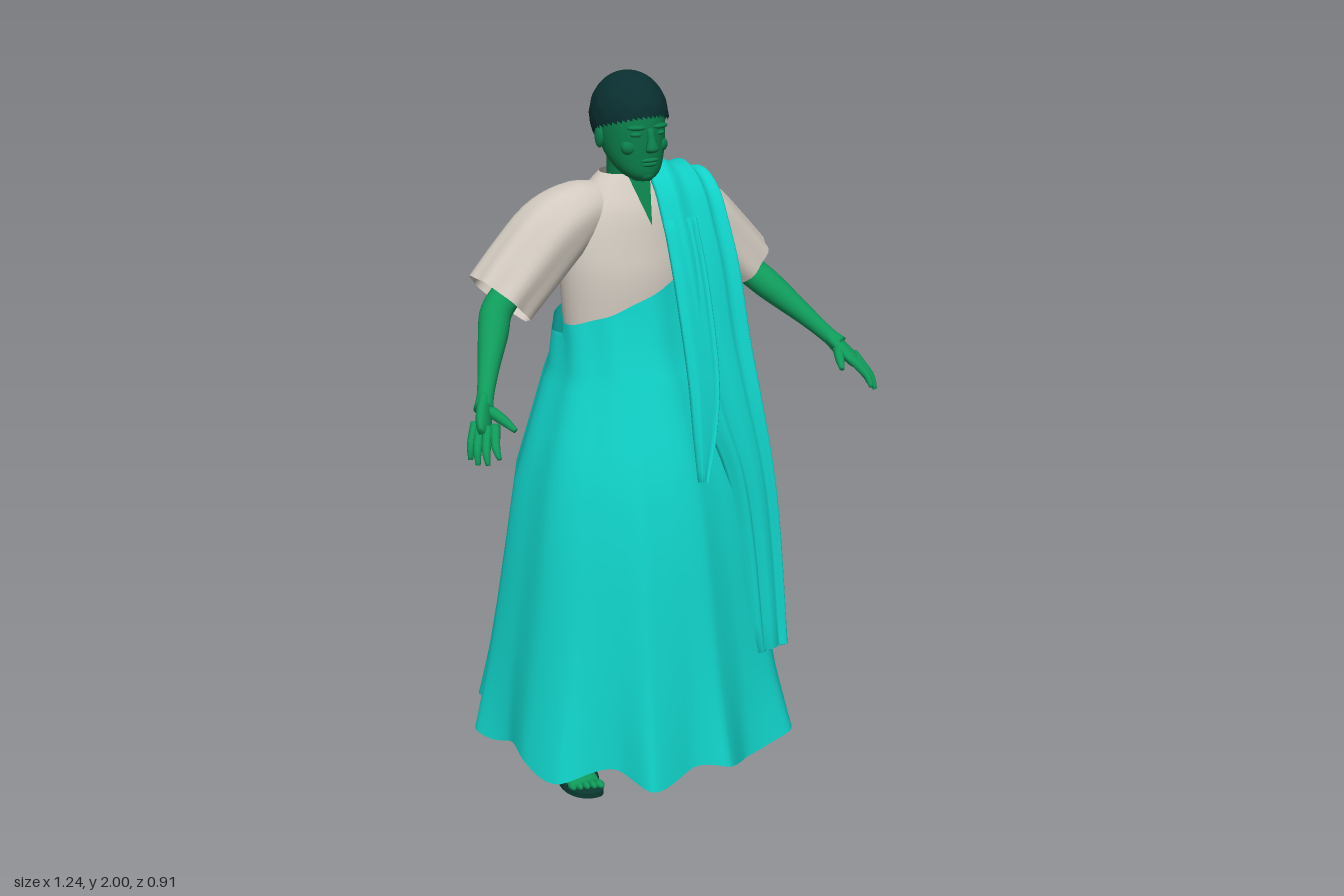
import * as THREE from 'three';

const mat = (name, color) => {
  const m = new THREE.MeshStandardMaterial({ color, side: THREE.DoubleSide });
  m.name = name;
  return m;
};

// Skin a list of closed rings, optionally closing both ends
function skin(rows, capped) {
  const n = rows[0].length, pos = [], idx = [];
  rows.forEach(r => r.forEach(p => pos.push(p.x, p.y, p.z)));
  for (let i = 0; i < rows.length - 1; i++) for (let j = 0; j < n; j++) {
    const a = i * n + j, b = i * n + (j + 1) % n;
    idx.push(a, b, a + n, b, b + n, a + n);
  }
  if (capped) [0, rows.length - 1].forEach(i => {
    const c = rows[i].reduce((s, p) => s.add(p), new THREE.Vector3()).divideScalar(n);
    const k = pos.length / 3;
    pos.push(c.x, c.y, c.z);
    for (let j = 0; j < n; j++) {
      const a = i * n + j, b = i * n + (j + 1) % n;
      if (i) idx.push(k, a, b); else idx.push(k, b, a);
    }
  });
  const g = new THREE.BufferGeometry();
  g.setAttribute('position', new THREE.Float32BufferAttribute(pos, 3));
  g.setIndex(idx);
  g.computeVertexNormals();
  return g;
}

// Loft along a path; each point is [x, y, z, radiusU, radiusV]
function loft(pts, o = {}) {
  const { n = 20, steps = 4, ref = [0, 0, 1], dir, power = 1, ripple = 0, k = 7, pleat = 0, capped = true } = o;
  const path = new THREE.CatmullRomCurve3(pts.map(p => new THREE.Vector3(p[0], p[1], p[2])), false, 'catmullrom');
  const size = new THREE.CatmullRomCurve3(pts.map(p => new THREE.Vector3(p[3], p[4] ?? p[3], 0)), false, 'catmullrom');
  const m = (pts.length - 1) * steps, rows = [];
  const bend = c => Math.sign(c) * Math.abs(c) ** power;
  for (let i = 0; i <= m; i++) {
    const f = i / m, c = path.getPoint(f), r = size.getPoint(f);
    const t = dir ? new THREE.Vector3(...dir) : path.getTangent(f);
    const u = new THREE.Vector3(...ref).cross(t).normalize(), v = t.clone().cross(u);
    rows.push(Array.from({ length: n }, (_, j) => {
      const a = j / n * Math.PI * 2, q = 1 + ripple * f * Math.cos(k * a);
      const cu = bend(Math.cos(a)), cv = bend(Math.sin(a));
      return c.clone().addScaledVector(u, r.x * cu * q + pleat * Math.cos(cv * 8 + f * 2)).addScaledVector(v, r.y * cv * q);
    }));
  }
  return skin(rows, capped);
}

export function createModel() {
  const model = new THREE.Group();
  const cloth = mat('turquoise cloth', 0x10d0c6), linen = mat('pale linen', 0xd2cac0);
  const skinMat = mat('green skin', 0x0f9a5a), face = mat('face green', 0x0b7f4b);
  const hairMat = mat('dark hair', 0x0a2f30), leather = mat('sandal leather', 0x0b3a32);
  const add = (name, geo, m, parent = model) => {
    const mesh = new THREE.Mesh(geo, m);
    mesh.name = name;
    parent.add(mesh);
    return mesh;
  };
  const ball = (name, m, x, y, z, sx, sy, sz, parent) => {
    const b = add(name, new THREE.SphereGeometry(1, 14, 10), m, parent);
    b.position.set(x, y, z);
    b.scale.set(sx, sy, sz);
    return b;
  };

  // Gown: waist ellipses flowing into a folded hem outline
  const hem = new THREE.CatmullRomCurve3([
    [-.44, -.13], [-.4, 0], [-.42, .13], [-.38, .27], [-.23, .32], [-.18, .43], [-.04, .41], [.05, .455],
    [.15, .39], [.3, .38], [.36, .27], [.37, .12], [.43, -.02], [.45, -.18], [.38, -.25], [.31, -.3],
    [.28, -.39], [.1, -.41], [-.13, -.455], [-.2, -.4], [-.33, -.33], [-.35, -.2],
  ].map(p => new THREE.Vector3(p[0], 0, p[1])), true, 'catmullrom', 0.35).getPoints(132).slice(0, -1);
  // height, half width, half depth, centre z, share of hem outline, scale of hem outline
  const levels = [
    [.15, .445, .45, 0, 1, 1], [.22, .43, .43, 0, .85, .97], [.32, .41, .41, 0, .62, .93], [.45, .39, .39, 0, .42, .88],
    [.65, .36, .36, 0, .3, .81], [.9, .325, .32, 0, .2, .72], [1.05, .275, .27, -.01, .12, .62],
    [1.18, .235, .232, -.015, .08, .52], [1.22, .22, .215, -.015, .05, .5], [1.3, .212, .19, -.02, 0, 1], [0, .21, .17, -.025, 0, 1],
  ];
  add('gown', skin(levels.map(([y, rx, rz, cz, w, s]) => hem.map(h => {
    const a = Math.atan2(h.z, h.x), fold = 1 + .018 * Math.cos(11 * a + 1) * (1 - w);
    const x = THREE.MathUtils.lerp(rx * Math.cos(a) * fold, h.x * s, w);
    const z = THREE.MathUtils.lerp(cz + rz * Math.sin(a) * fold, h.z * s, w);
    const top = 1.44 + .45 * x - (z < 0 ? .03 : 0);
    return new THREE.Vector3(x, y ? y + w * .018 * Math.sin(9 * a) : top, z);
  }))), cloth);

  // Shawl: pleated band hanging from the left shoulder, front and back
  add('shawl', loft([
    [.28, .63, -.285, .018, .1], [.255, .9, -.28, .018, .1], [.235, 1.2, -.245, .018, .09], [.21, 1.45, -.2, .018, .085],
    [.165, 1.62, -.145, .018, .085], [.135, 1.71, -.075, .016, .09], [.13, 1.735, 0, .014, .098],
    [.13, 1.69, .07, .014, .1], [.132, 1.6, .12, .014, .1], [.138, 1.48, .165, .014, .1], [.145, 1.3, .21, .014, .1],
    [.17, 1.13, .25, .014, .09], [.21, .95, .28, .014, .07], [.235, .75, .3, .014, .062], [.255, .42, .33, .014, .055],
  ], { n: 40, ref: [1, -.25, 0], power: .6, pleat: .009 }), cloth);
  add('shawlInnerFold', loft([
    [.08, 1.62, .12, .012, .05], [.08, 1.45, .185, .012, .05], [.078, 1.22, .25, .012, .045], [.062, 1.07, .285, .012, .032], [.04, .95, .315, .008, .012],
  ], { n: 24, ref: [1, 0, 0], power: .6, pleat: .005 }), cloth);

  // Shirt body with open neck
  add('shirt', loft([
    [0, 1.28, -.02, .18, .13], [0, 1.45, -.025, .19, .14], [0, 1.55, -.03, .185, .13], [0, 1.64, -.03, .155, .11],
    [0, 1.7, -.03, .11, .08], [0, 1.735, -.03, .072, .062],
  ], { n: 32, dir: [0, 1, 0], capped: false, ripple: .015, k: 8 }), linen);
  const opening = new THREE.BufferGeometry();
  opening.setAttribute('position', new THREE.Float32BufferAttribute([-.035, 1.74, .04, 0, 1.61, .112, .035, 1.74, .04], 3));
  opening.computeVertexNormals();
  add('neckOpening', opening, face);

  // Head and neck
  const head = new THREE.Group();
  head.name = 'head';
  model.add(head);
  add('neck', loft([[0, 1.6, -.03, .06, .055], [0, 1.7, -.025, .052, .052], [0, 1.8, -.015, .055, .06]], { dir: [0, 1, 0] }), face, head);
  add('skull', loft([
    [0, 1.725, .06, .025, .028], [0, 1.745, .045, .052, .055], [0, 1.78, .022, .073, .08], [0, 1.83, .003, .084, .1],
    [0, 1.88, -.005, .088, .105], [0, 1.93, -.012, .084, .1], [0, 1.965, -.012, .055, .065],
  ], { n: 28, dir: [0, 1, 0] }), face, head);
  add('nose', loft([[0, 1.865, .098, .009, .008], [0, 1.835, .108, .011, .012], [0, 1.812, .112, .018, .015], [0, 1.803, .104, .012, .01]],
    { n: 12, dir: [0, 1, 0] }), face, head);
  ball('upperLip', face, 0, 1.782, .1, .026, .006, .009, head);
  ball('lowerLip', face, 0, 1.771, .097, .022, .007, .01, head);
  ball('chin', face, 0, 1.743, .084, .024, .018, .016, head);
  for (const s of [-1, 1]) {
    ball('brow', face, s * .036, 1.868, .092, .026, .007, .012, head).rotation.y = s * .35;
    ball('eye', face, s * .036, 1.85, .089, .016, .007, .01, head).rotation.y = s * .35;
    ball('cheek', face, s * .043, 1.815, .07, .026, .022, .02, head);
    ball('ear', face, s * .088, 1.835, -.012, .01, .03, .018, head);
  }

  // Cropped hair: low at the nape, high at the brow
  const hair = new THREE.SphereGeometry(1, 48, 20), hp = hair.attributes.position;
  for (let i = 0; i < hp.count; i++) {
    const f = Math.floor(i / 49) / 20, a = (i % 49) / 48 * Math.PI * 2, z = Math.sin(a);
    const end = THREE.MathUtils.degToRad(z > 0 ? 106 - 19 * z : 106 - 36 * z), p = f * end;
    const q = 1 + .018 * f * Math.sin(p * 15) * Math.sin(a * 12);
    hp.setXYZ(i, -Math.cos(a) * Math.sin(p) * .098 * q, 1.885 + .115 * Math.cos(p), -.011 + z * Math.sin(p) * .12 * q);
  }
  hair.computeVertexNormals();
  add('hair', hair, hairMat, head);

  for (const s of [-1, 1]) {
    const side = s > 0 ? 'left' : 'right';
    const limb = (name, pts, m, o, parent) => add(name, loft(pts.map(([x, ...r]) => [x * s, ...r]), o), m, parent);

    // Wide sleeve
    limb(side + 'Sleeve', [
      [.08, 1.645, -.035, .07, .07], [.15, 1.63, -.037, .087, .09], [.22, 1.585, -.04, .1, .1], [.3, 1.505, -.04, .1, .1], [.375, 1.428, -.037, .096, .098],
    ], linen, { n: 40, ripple: .05, k: 7, capped: false });

    // Arm and hand
    const arm = new THREE.Group();
    arm.name = side + 'Arm';
    model.add(arm);
    limb('forearm', [
      [.26, 1.54, -.04, .045], [.35, 1.45, -.03, .042], [.4, 1.405, -.01, .042], [.435, 1.365, .04, .04], [.49, 1.3, .12, .028], [.53, 1.25, .18, .022], [.55, 1.225, .21, .026],
    ], skinMat, {}, arm);
    limb('palm', [[.528, 1.253, .177, .018, .02], [.55, 1.222, .212, .018, .034], [.57, 1.19, .25, .017, .041], [.58, 1.175, .268, .01, .032]],
      skinMat, { ref: [-.6, 0, .8] }, arm);
    [[.595, 1.185, .242, .615, 1.12, .262], [.59, 1.18, .258, .61, 1.115, .295],
      [.577, 1.178, .275, .595, 1.12, .32], [.56, 1.182, .282, .57, 1.135, .335]].forEach(([x, y, z, X, Y, Z]) =>
      limb('finger', [[x - .012, y + .018, z - .012, .013], [(x + X) / 2 + .004, (y + Y) / 2 + .004, (z + Z) / 2 + .004, .011], [X, Y, Z, .006]], skinMat, { n: 10 }, arm));
    limb('thumb', [[.54, 1.225, .215, .015], [.518, 1.205, .255, .013], [.502, 1.185, .29, .007]], skinMat, { n: 10 }, arm);

    // Leg, foot and toes
    const leg = new THREE.Group();
    leg.name = side + 'Leg';
    model.add(leg);
    limb('shin', [[.15, .8, -.03, .075], [.18, .5, -.04, .06], [.2, .32, -.05, .055], [.212, .15, -.055, .036], [.215, .06, -.06, .036]], skinMat, {}, leg);
    limb('foot', [[.215, .04, -.11, .02, .022], [.215, .052, -.085, .035, .04], [.216, .06, -.04, .036, .046], [.22, .05, .03, .042, .036], [.224, .035, .09, .048, .022], [.226, .028, .135, .044, .014]],
      skinMat, { ref: [0, 1, 0], dir: [0, 0, 1] }, leg);
    for (let i = 0; i < 5; i++)
      ball('toe', skinMat, s * (.19 + i * .0185), .027, .152 - i * .007, i ? .009 : .012, .011, .02, leg);

    // Sandal: sole and straps
    const sole = new THREE.Shape();
    sole.moveTo(.215, -.14);
    sole.bezierCurveTo(.265, -.14, .245, -.02, .27, .06);
    sole.bezierCurveTo(.285, .13, .25, .175, .205, .175);
    sole.bezierCurveTo(.165, .175, .17, .09, .175, .03);
    sole.bezierCurveTo(.178, -.03, .165, -.14, .215, -.14);
    const soleGeo = new THREE.ExtrudeGeometry(sole, { depth: .016, bevelEnabled: false, curveSegments: 10 });
    soleGeo.rotateX(Math.PI / 2).translate(0, .016, 0);
    add('sole', soleGeo, leather, leg).scale.x = s;
    for (const [z, rx, ry] of [[.1, .052, .05], [.06, .05, .064], [.015, .046, .085]]) {
      const strap = add('strap', new THREE.TorusGeometry(1, .12, 6, 20, Math.PI), leather, leg);
      strap.position.set(s * .221, .008, z);
      strap.scale.set(rx, ry, .07);
    }
    const band = add('ankleStrap', new THREE.CylinderGeometry(.043, .043, .022, 20, 1, true), leather, leg);
    band.position.set(s * .214, .118, -.056);
    band.scale.z = 1.1;
    band.rotation.x = .1;
    limb('heelStrap', [[.215, .01, -.115, .012, .006], [.215, .06, -.122, .012, .006], [.214, .115, -.1, .012, .006]], leather, { n: 8 }, leg);
  }
  return model;
}
